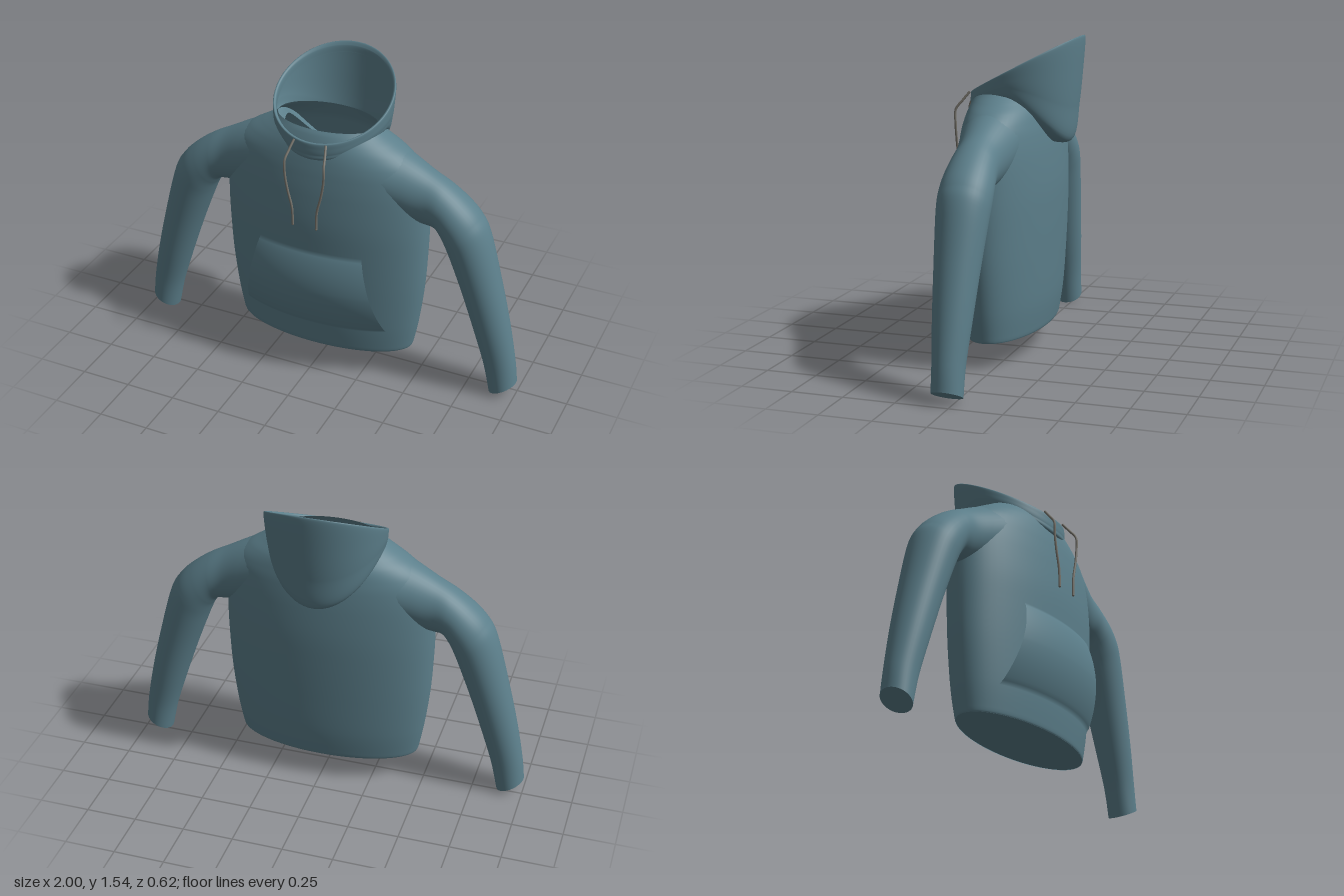
import * as THREE from 'three';
import { ParametricGeometry } from 'three/addons/geometries/ParametricGeometry.js';

const TAU = Math.PI * 2;

// Torso rings: y, half width, front z, back z
const TORSO = [
  [0.145, 0.455, 0.215, -0.15], [0.17, 0.462, 0.222, -0.157], [0.3, 0.485, 0.238, -0.175],
  [0.5, 0.508, 0.25, -0.187], [0.7, 0.518, 0.258, -0.195], [0.85, 0.52, 0.26, -0.197],
  [1.0, 0.515, 0.25, -0.19], [1.1, 0.495, 0.238, -0.18], [1.16, 0.46, 0.228, -0.17],
  [1.21, 0.4, 0.217, -0.16], [1.25, 0.335, 0.204, -0.143], [1.29, 0.268, 0.185, -0.122],
  [1.31, 0.25, 0.17, -0.11],
];

// Sleeve rings: outer x, outer y, inner x, inner y, half depth
const SLEEVE = [
  [0.28, 1.27, 0.34, 0.92, 0.16], [0.42, 1.2, 0.44, 0.885, 0.13], [0.52, 1.145, 0.52, 0.87, 0.112],
  [0.61, 1.095, 0.565, 0.865, 0.114], [0.7, 1.03, 0.593, 0.83, 0.122], [0.77, 0.96, 0.615, 0.785, 0.125],
  [0.82, 0.87, 0.645, 0.71, 0.12], [0.888, 0.63, 0.705, 0.55, 0.105], [0.945, 0.4, 0.775, 0.345, 0.09],
  [0.985, 0.2, 0.832, 0.165, 0.076], [1.0, 0.08, 0.868, 0.01, 0.073],
];

// Smooth interpolation through the rows of a table, t from 0 to 1
function sample(rows, t) {
  const n = rows.length - 1;
  const f = Math.min(Math.max(t, 0), 1) * n;
  const i = Math.min(Math.floor(f), n - 1), k = f - i;
  const at = (j) => rows[Math.min(Math.max(j, 0), n)];
  return rows[0].map((_, c) => {
    const [a, b, d, e] = [at(i - 1)[c], at(i)[c], at(i + 1)[c], at(i + 2)[c]];
    return b + 0.5 * k * (d - a + k * (2 * a - 5 * b + 4 * d - e + k * (3 * (b - d) + e - a)));
  });
}

// Front surface of the torso at a given x and y
function torsoFront(x, y) {
  let i = 0;
  while (i < TORSO.length - 2 && TORSO[i + 1][0] < y) i++;
  const k = (y - TORSO[i][0]) / (TORSO[i + 1][0] - TORSO[i][0]);
  const [w, f, b] = [1, 2, 3].map((c) => THREE.MathUtils.lerp(TORSO[i][c], TORSO[i + 1][c], k));
  return (f + b) / 2 + ((f - b) / 2) * Math.sqrt(Math.max(0, 1 - (x / w) ** 2));
}

// Hood rings at angle a (0 = front), from the tuck under the base to the inner lip
function hoodRows(a) {
  const s = Math.sin(a), c = Math.cos(a);
  const drop = c > 0 ? 0.095 * c * c : 0.22 * Math.pow(-c, 1.5);
  const base = [0.27 * s, 1.28 - drop, c > 0 ? -0.02 + 0.245 * c : -0.02 + 0.24 * c];
  const rim = [0.29 * s, 1.405 - 0.135 * c, -0.04 + 0.27 * c];
  const mix = (k, swell) => base.map((v, i) => (v + (rim[i] - v) * k) * (i === 1 ? 1 : swell));
  return [
    [base[0] * 0.85, base[1] - 0.018, 0.01 + (base[2] - 0.01) * 0.7],
    base, mix(0.33, 1.025), mix(0.66, 1.02), rim,
    [rim[0] * 0.955, rim[1] - 0.004, -0.04 + 0.255 * c],
    [rim[0] * 0.945, rim[1] - 0.04, -0.04 + 0.25 * c],
  ];
}

export function createModel() {
  const group = new THREE.Group();
  const fabric = new THREE.MeshStandardMaterial({ color: 0x5c7f8b, side: THREE.DoubleSide });
  fabric.name = 'blue grey fabric';
  const cord = new THREE.MeshStandardMaterial({ color: 0x77746c });
  cord.name = 'grey cord';

  const add = (name, geometry, material = fabric) => {
    const mesh = new THREE.Mesh(geometry, material);
    mesh.name = name;
    group.add(mesh);
    return mesh;
  };
  const surface = (name, nu, nv, fn) =>
    add(name, new ParametricGeometry((u, v, p) => p.set(...fn(u, v)), nu, nv));

  // Torso, open at the neck
  surface('torso', 64, 60, (u, v) => {
    const [y, w, f, b] = sample(TORSO, v);
    const a = u * TAU;
    return [w * Math.sin(a), y, (f + b) / 2 + ((f - b) / 2) * Math.cos(a)];
  });

  // Underside of the hem
  const hem = add('hemPanel', new THREE.CircleGeometry(1, 64));
  hem.rotation.x = Math.PI / 2;
  hem.scale.set(0.455, 0.1825, 1);
  hem.position.set(0, 0.147, 0.0325);

  // Sleeves and cuff ends
  for (const side of [1, -1]) {
    const label = side > 0 ? 'left' : 'right';
    const ring = (u, t, r) => {
      const [ox, oy, ix, iy, d] = sample(SLEEVE, t);
      const a = u * TAU * side, c = Math.cos(a) * r;
      return [
        side * ((ox + ix) / 2 + ((ox - ix) / 2) * c),
        (oy + iy) / 2 + ((oy - iy) / 2) * c,
        0.03 + d * r * Math.sin(a),
      ];
    };
    surface(label + 'Sleeve', 40, 60, (u, v) => ring(u, v, 1));
    surface(label + 'CuffEnd', 40, 2, (u, v) => ring(u, 1, 1 - v * 0.999));
  }

  // Hood
  surface('hood', 72, 48, (u, v) => sample(hoodRows(u * TAU), v));

  // Front pocket, bulging away from the torso and open at its sides
  surface('frontPocket', 32, 24, (u, v) => {
    const y = 0.28 + 0.43 * v;
    const x = (u * 2 - 1) * (0.372 - 0.107 * v);
    const bulge = 0.004 + 0.052 * Math.pow(Math.sin(Math.PI * Math.min(Math.max(v, 0.0001), 0.9999)), 0.75);
    return [x, y, torsoFront(x, y) + bulge];
  });

  // Drawstrings
  for (const side of [1, -1]) {
    const points = [
      [0.08, 1.275, 0.228], [0.09, 1.235, 0.26], [0.099, 1.19, 0.293], [0.098, 1.12, 0.295],
      [0.085, 1.04, 0.295], [0.064, 0.95, 0.295], [0.06, 0.86, 0.295],
    ].map(([x, y, z]) => new THREE.Vector3(x * side, y, z));
    add(side > 0 ? 'leftDrawstring' : 'rightDrawstring',
      new THREE.TubeGeometry(new THREE.CatmullRomCurve3(points), 40, 0.006, 8), cord);
    const tip = add('drawstringTip', new THREE.SphereGeometry(0.0065, 10, 8), cord);
    tip.position.copy(points[6]);
  }

  return group;
}
